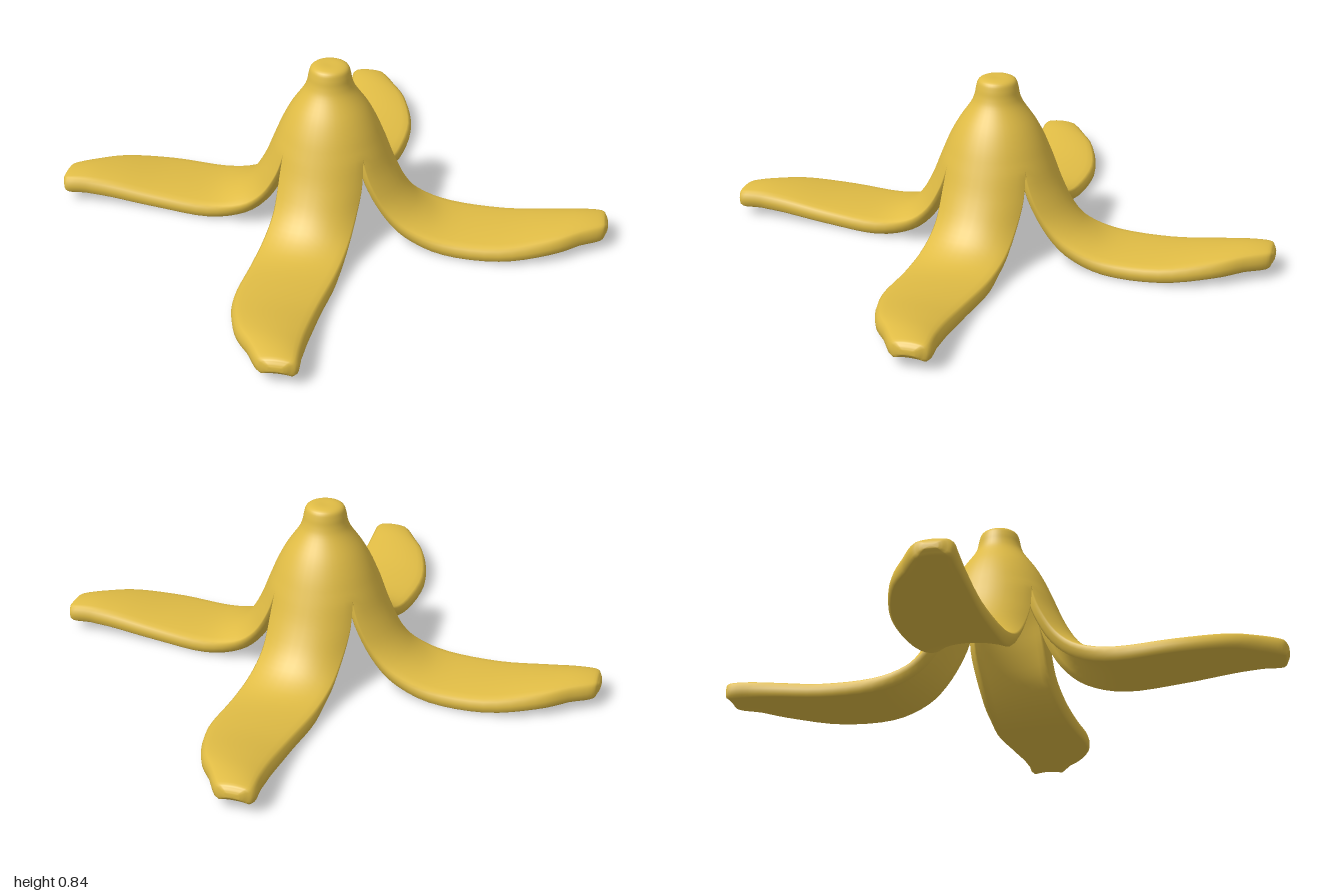
import * as THREE from 'three';
import { mergeVertices } from 'three/addons/utils/BufferGeometryUtils.js';

// Stations from the stem top to a flap tip. u runs outward along the flap.
// [centre u, centre y, edge u, edge y, left half width, right half width, thickness, edge roundness]
const Q = Math.SQRT1_2;
const ring = (r, y) => [r, y, r * Q, y, r * Q, r * Q, 0.05, 0];
const STATIONS = [
  ring(0, 0.845), ring(0.055, 0.845), ring(0.088, 0.832), ring(0.1, 0.8),
  ring(0.108, 0.76), ring(0.127, 0.715), ring(0.185, 0.63), ring(0.228, 0.55),
  ring(0.268, 0.455),
  [0.32, 0.33, 0.232, 0.33, 0.205, 0.192, 0.055, 0.3],
  [0.39, 0.21, 0.31, 0.2, 0.213, 0.17, 0.06, 0.5],
  [0.48, 0.13, 0.42, 0.115, 0.237, 0.15, 0.065, 0.5],
  [0.61, 0.09, 0.59, 0.077, 0.262, 0.122, 0.07, 0.5],
  [0.85, 0.1, 0.85, 0.085, 0.278, 0.085, 0.07, 0.5],
  [1.08, 0.133, 1.08, 0.115, 0.218, 0.07, 0.075, 0.5],
  [1.22, 0.147, 1.22, 0.13, 0.135, 0.07, 0.08, 0.5],
  [1.318, 0.14, 1.318, 0.13, 0.075, 0.072, 0.08, 0.5],
  [1.342, 0.123, 1.342, 0.12, 0.047, 0.047, 0.05, 0.5],
  [1.352, 0.105, 1.352, 0.104, 0.025, 0.025, 0.02, 0.5],
];
const STEPS = 4;
const ROWS = (STATIONS.length - 1) * STEPS;
const SEALED = 8 * STEPS; // flaps are joined above this row
const TIP = 15 * STEPS; // the skin normal stays fixed past this row
const ACROSS = 10;

// Smoothly interpolated stations
function sampleStations() {
  const spline = new THREE.CubicInterpolant(
    STATIONS.map((_, i) => i), STATIONS.flat(), 8, new Array(8).fill(0));
  return Array.from({ length: ROWS + 1 }, (_, i) => Array.from(spline.evaluate(i / STEPS)));
}

// One closed cross-section as [u, y, v] points: outer skin, edge, inner skin, edge
function crossSection(rows, i) {
  const [uc, yc, ue, ye, wl, wr, t, round] = rows[i];
  const left = Math.min(wl, ue);
  const right = Math.min(wr, ue);
  const m = Math.min(i, TIP);
  const before = rows[Math.max(m - 1, 0)];
  const after = rows[m + 1];
  const normal = new THREE.Vector2(before[1] - after[1], after[0] - before[0]).normalize();
  const outer = [];
  const inner = [];
  for (let k = 0; k <= ACROSS; k++) {
    const a = (k / ACROSS * 2 - 1) * Math.PI / 4;
    const drop = (1 - Math.cos(a)) / (1 - Q);
    const u = uc + (ue - uc) * drop;
    const y = yc + (ye - yc) * drop;
    const v = (left - right) / 2 + (left + right) / 2 * Math.sin(a) / Q;
    outer.push([u, y, v]);
    inner.push([u - t * normal.x * Math.cos(a), y - t * normal.y, v - t * normal.x * Math.sin(a)]);
  }
  // Half-round edge from the outer skin to the inner skin
  const bulge = i <= SEALED ? 0 : Math.max(round, 0) * t * 0.5;
  const rim = (from, to, side) => [1, 2, 3].map((n) => {
    const angle = n * Math.PI / 4;
    const blend = (1 - Math.cos(angle)) / 2;
    return from.map((c, j) =>
      c + (to[j] - c) * blend + (j === 2 ? side * bulge * Math.sin(angle) : 0));
  });
  const leftRim = rim(outer[ACROSS], inner[ACROSS], 1);
  const rightRim = rim(inner[0], outer[0], -1);
  return [...outer, ...leftRim, ...inner.reverse(), ...rightRim];
}

// Four flaps joined at the stem, turned a quarter each
function peelGeometry() {
  const rows = sampleStations();
  const sections = rows.map((_, i) => crossSection(rows, i));
  const size = sections[0].length;
  const half = size / 2;
  const positions = [];
  const indices = [];
  for (let f = 0; f < 4; f++) {
    const base = positions.length / 3;
    const angle = Math.PI / 4 + f * Math.PI / 2;
    const c = Math.cos(angle);
    const s = Math.sin(angle);
    const put = ([u, y, v]) => positions.push(u * c - v * s, y, u * s + v * c);
    sections.forEach((section) => section.forEach(put));
    for (let i = 0; i < ROWS; i++) {
      for (let j = 0; j < size; j++) {
        // No edge walls where neighbouring flaps are joined
        if (i < SEALED && j % half >= ACROSS) continue;
        const j2 = (j + 1) % size;
        const a = base + i * size + j;
        const b = base + i * size + j2;
        indices.push(a, b, a + size, b, b + size, a + size);
      }
    }
    // Tip cap
    const last = sections[ROWS];
    put([0, 1, 2].map((k) => last.reduce((sum, p) => sum + p[k], 0) / size));
    const centre = positions.length / 3 - 1;
    for (let j = 0; j < size; j++) {
      indices.push(centre, base + ROWS * size + j, base + ROWS * size + (j + 1) % size);
    }
  }
  const geometry = new THREE.BufferGeometry();
  geometry.setAttribute('position', new THREE.Float32BufferAttribute(positions, 3));
  geometry.setIndex(indices);
  const welded = mergeVertices(geometry, 1e-4);
  welded.computeVertexNormals();
  return welded;
}

export function createModel() {
  const yellow = new THREE.MeshStandardMaterial({ color: 0xe0bc45 });
  yellow.name = 'bananaYellow';
  const model = new THREE.Group();
  model.name = 'bananaPeel';

  const peel = new THREE.Mesh(peelGeometry(), yellow);
  peel.name = 'peelFlapsAndStem';
  model.add(peel);

  // Closes the hollow under the stem
  const ceiling = new THREE.Mesh(new THREE.CircleGeometry(0.15, 24).rotateX(Math.PI / 2), yellow);
  ceiling.name = 'innerCeiling';
  ceiling.position.y = 0.62;
  model.add(ceiling);
  return model;
}
